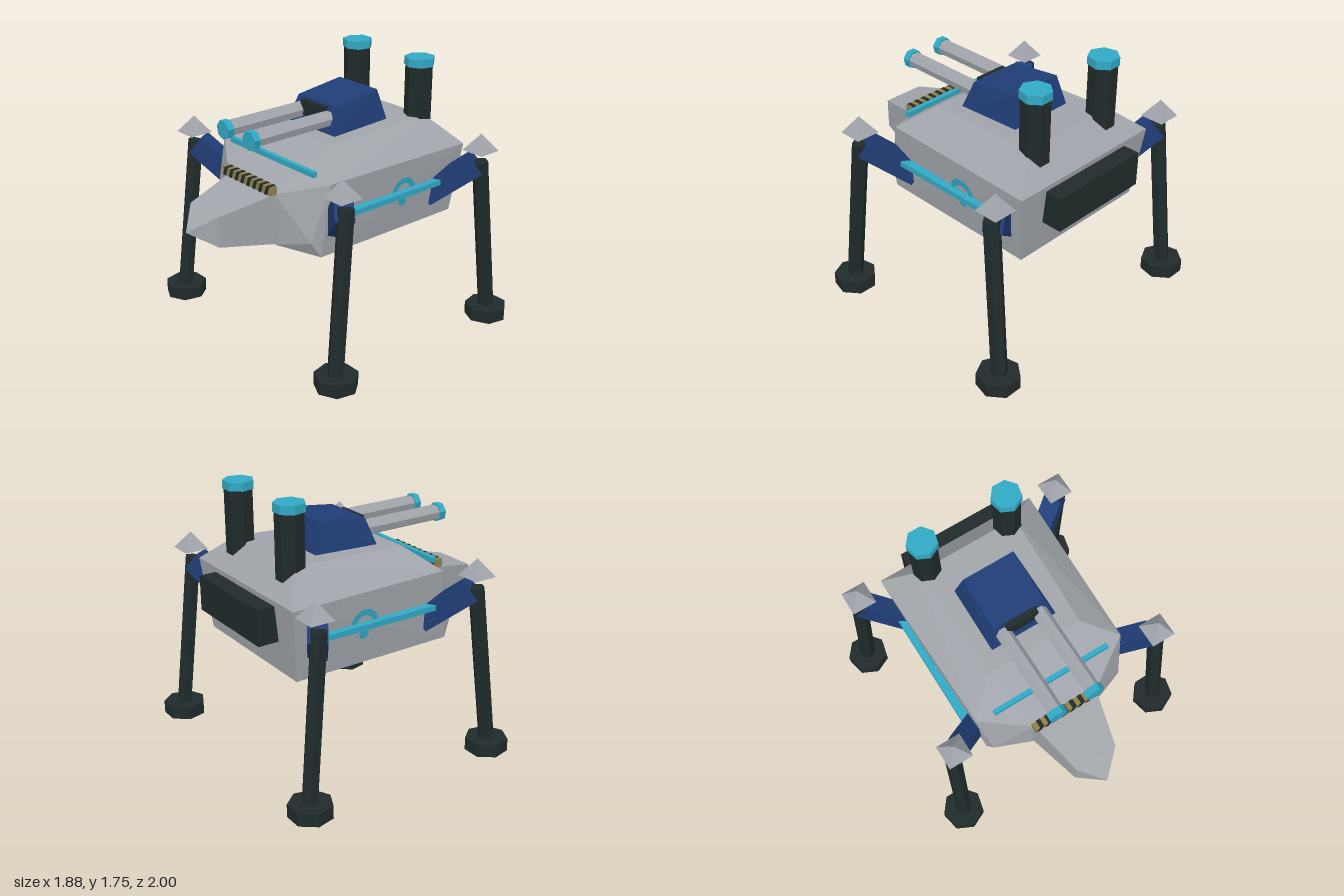
import * as THREE from 'three';
import { ConvexGeometry } from 'three/addons/geometries/ConvexGeometry.js';

const SIDES = 7;
const MID_Z = -0.19; // legs mirror about this depth

function paint(name, color, side = THREE.FrontSide) {
  const m = new THREE.MeshStandardMaterial({ color, flatShading: true, side });
  m.name = name;
  return m;
}

// Faceted solid from points mirrored left and right
function hull(points) {
  const all = [];
  for (const [x, y, z] of points) {
    all.push(new THREE.Vector3(x, y, z));
    if (x !== 0) all.push(new THREE.Vector3(-x, y, z));
  }
  return new ConvexGeometry(all);
}

export function createModel() {
  const model = new THREE.Group();
  model.name = 'walker';
  const grey = paint('armourGrey', 0xa1a5ab);
  const dark = paint('darkMetal', 0x202b2b);
  const blue = paint('deepBlue', 0x203d76);
  const cyan = paint('glowCyan', 0x31a9c4, THREE.DoubleSide);
  const yellow = paint('hazardYellow', 0x918049);

  function add(name, geometry, material, x = 0, y = 0, z = 0, parent = model) {
    const mesh = new THREE.Mesh(geometry, material);
    mesh.name = name;
    mesh.position.set(x, y, z);
    parent.add(mesh);
    return mesh;
  }
  const box = (w, h, d) => new THREE.BoxGeometry(w, h, d);
  const rod = (r, h, n = SIDES) => new THREE.CylinderGeometry(r, r, h, n);

  // Armoured body
  add('body', hull([
    [0.51, 0.72, -0.77], [0.565, 1.195, -0.82], [0.355, 1.37, -0.665],
    [0.33, 1.34, 0.135], [0.535, 1.195, 0.31],
    [0.505, 0.72, 0.36], [0.48, 0.82, 0.42],
    [0.235, 1.09, 0.5], [0.235, 0.75, 0.5],
  ]), grey);

  // Pointed nose
  add('nose', hull([
    [0.235, 1.09, 0.48], [0.235, 0.75, 0.48],
    [0.145, 1.01, 0.86], [0.145, 0.81, 0.86], [0, 0.9, 1.0],
  ]), grey);

  // Turret with twin guns
  add('turret', hull([
    [0.235, 1.33, 0.02], [0.235, 1.33, -0.447],
    [0.18, 1.515, -0.04], [0.18, 1.56, -0.395],
  ]), blue);
  add('gunMount', box(0.22, 0.1, 0.06), dark, 0, 1.455, -0.025);
  for (const x of [-0.13, 0.13]) {
    add('gunBarrel', rod(0.052, 0.6).rotateX(Math.PI / 2), grey, x, 1.43, 0.27);
    add('gunMuzzle', rod(0.063, 0.045).rotateX(Math.PI / 2), cyan, x, 1.43, 0.587);
  }

  // Rear stacks and rear pack
  for (const x of [-0.295, 0.295]) {
    add('stack', rod(0.092, 0.5), dark, x, 1.45, -0.66);
    add('stackCap', rod(0.1, 0.055), cyan, x, 1.727, -0.66);
  }
  add('rearPack', box(0.71, 0.23, 0.16), dark, 0, 1.045, -0.85);

  // Light bars and side markers
  add('frontLight', box(0.83, 0.035, 0.03), cyan, 0, 1.228, 0.332);
  for (const s of [-1, 1]) {
    add('sideLight', box(0.055, 0.036, 0.83), cyan, s * 0.557, 0.983, -0.185);
    const marker = new THREE.Group();
    marker.name = 'sideMarker';
    marker.position.set(s * 0.541, 0.985, -0.3);
    marker.rotation.set(0, s * Math.PI / 2, -s * 0.09, 'ZYX');
    model.add(marker);
    add('markerArc', new THREE.RingGeometry(0.06, 0.1, 12, 1, 0, Math.PI), cyan, 0, 0, 0, marker);
    add('markerDot', new THREE.CircleGeometry(0.035, 10), cyan, 0, -0.065, 0, marker);
  }

  // Hazard bumper with slanted dark bands
  add('bumper', box(0.49, 0.055, 0.05), yellow, 0, 1.118, 0.517);
  const band = new THREE.Shape([
    new THREE.Vector2(-0.025, -0.029), new THREE.Vector2(0.003, -0.029),
    new THREE.Vector2(0.025, 0.029), new THREE.Vector2(-0.003, 0.029),
  ]);
  const bandGeometry = new THREE.ExtrudeGeometry(band, { depth: 0.054, bevelEnabled: false });
  for (let i = 0; i < 8; i++) {
    add('bumperBand', bandGeometry, dark, -0.21 + i * 0.06, 1.118, 0.49);
  }

  // Stretches a part made along +y between two points
  function between(name, make, material, a, b) {
    const dir = b.clone().sub(a);
    const mid = a.clone().add(b).multiplyScalar(0.5);
    const mesh = add(name, make(dir.length()), material, mid.x, mid.y, mid.z);
    return { mesh, dir: dir.normalize() };
  }

  // Four legs
  for (const sx of [-1, 1]) {
    for (const sz of [-1, 1]) {
      const at = (x, y, z) => new THREE.Vector3(sx * x, y, MID_Z + sz * z);

      const thigh = between('thigh', (l) => box(0.12, l, 0.15), blue, at(0.46, 0.87, 0.4), at(0.735, 1.125, 0.575));
      const across = new THREE.Vector3(0, 1, 0).cross(thigh.dir).normalize();
      const up = across.clone().cross(thigh.dir);
      thigh.mesh.quaternion.setFromRotationMatrix(new THREE.Matrix4().makeBasis(across, thigh.dir, up));

      const shin = between('shin', (l) => rod(0.053, l, 6), dark, at(0.8, 0.06, 0.69), at(0.758, 1.14, 0.58));
      shin.mesh.quaternion.setFromUnitVectors(new THREE.Vector3(0, 1, 0), shin.dir);

      const foot = at(0.803, 0.0425, 0.685);
      add('foot', rod(0.141, 0.085), dark, foot.x, foot.y, foot.z);

      const knee = at(0.743, 1.262, 0.595);
      add('kneeSpike', new THREE.ConeGeometry(0.116, 0.115, 4).rotateY(Math.PI / 4), grey, knee.x, knee.y, knee.z);
    }
  }
  return model;
}
